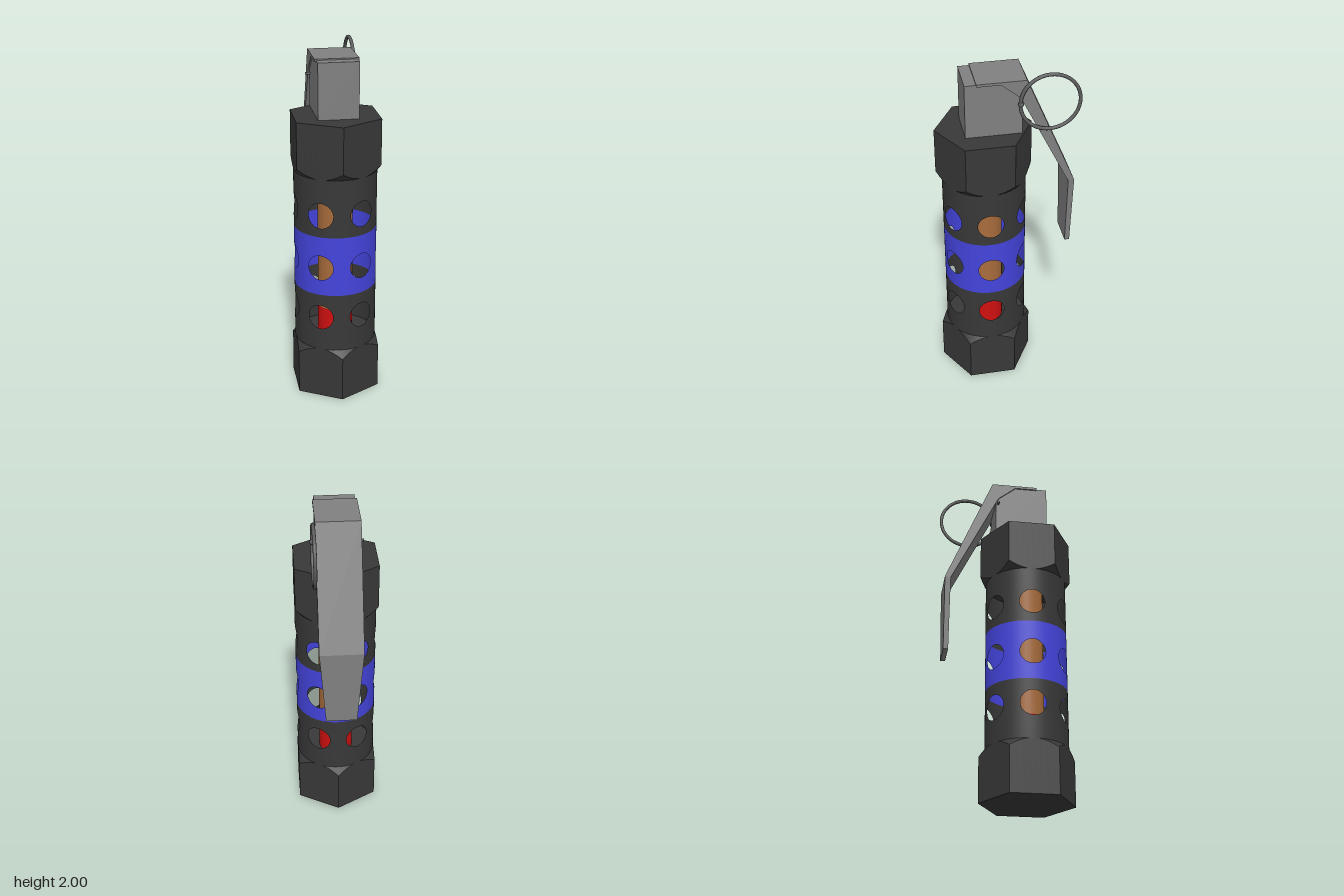
import * as THREE from 'three';
import { toCreasedNormals } from 'three/addons/utils/BufferGeometryUtils.js';
import { ParametricGeometry } from 'three/addons/geometries/ParametricGeometry.js';

const AXIS_Z = 0.122;   // body axis
const TUBE_R = 0.235;   // perforated sleeve radius
const APOTHEM = 0.234;  // hexagonal cap, centre to flat
const CAP_H = 0.307;
const HOLE_R = 0.073;

const material = (color, side = THREE.FrontSide) => new THREE.MeshStandardMaterial({ color, side });

function add(parent, name, geometry, mat, x = 0, y = 0, z = 0) {
  const mesh = new THREE.Mesh(geometry, mat);
  mesh.name = name;
  mesh.position.set(x, y, z);
  parent.add(mesh);
  return mesh;
}

// Hexagonal cap with its upper corners turned off by a cone
function hexCapGeometry() {
  const profile = [[0, 0], [0.27, 0], [0.27, 0.26], [APOTHEM, CAP_H], [0, CAP_H]]
    .map(([r, y]) => new THREE.Vector2(r, y));
  const geometry = new THREE.LatheGeometry(profile, 48);
  const p = geometry.attributes.position;
  const sector = Math.PI / 3;
  for (let i = 0; i < p.count; i++) {
    const x = p.getX(i), z = p.getZ(i);
    if (Math.hypot(x, z) < 0.25) continue;
    const a = Math.atan2(x, z) + Math.PI * 2;
    const local = a - (Math.floor(a / sector) + 0.5) * sector;
    const r = APOTHEM / Math.cos(local);
    const y = p.getY(i) > 0.1 ? CAP_H - (r - APOTHEM) * 1.25 : 0;
    p.setXYZ(i, r * Math.sin(a), y, r * Math.cos(a));
  }
  return toCreasedNormals(geometry, 0.4);
}

// Sixth of a sleeve ring: a curved panel around one round hole
function panelGeometry(bottom, holeY, top) {
  return new ParametricGeometry((u, v, target) => {
    const t = v * Math.PI * 2, c = Math.cos(t), s = Math.sin(t);
    const m = Math.max(Math.abs(c), Math.abs(s));
    const innerA = Math.asin(HOLE_R * c / TUBE_R);
    const outerA = (c / m) * Math.PI / 6;
    const outerY = (s / m) * (s > 0 ? top - holeY : holeY - bottom);
    const a = THREE.MathUtils.lerp(innerA, outerA, u);
    const y = holeY + THREE.MathUtils.lerp(HOLE_R * s, outerY, u);
    target.set(TUBE_R * Math.sin(a), y, TUBE_R * Math.cos(a));
  }, 4, 48);
}

// Safety lever: side profile extruded across, lower leaf tapered
function leverGeometry() {
  const outline = [
    [0.175, 1.96], [-0.095, 1.96], [-0.37, 1.305], [-0.366, 0.86], [-0.338, 0.86],
    [-0.336, 1.3], [-0.06, 1.86], [0.045, 1.945], [0.175, 1.945],
  ].map(([z, y]) => new THREE.Vector2(-z, y));
  const geometry = new THREE.ExtrudeGeometry(new THREE.Shape(outline), { depth: 0.244, bevelEnabled: false });
  geometry.translate(0, 0, -0.122).rotateY(Math.PI / 2);
  const p = geometry.attributes.position;
  for (let i = 0; i < p.count; i++) {
    const drop = Math.max(0, 1.3 - p.getY(i));
    p.setX(i, p.getX(i) * (1 - drop * 0.65));
  }
  geometry.computeVertexNormals();
  return geometry;
}

export function createModel() {
  const model = new THREE.Group();
  model.name = 'stunGrenade';
  const dark = material(0x383838);
  const steel = material(0x808080);
  const wire = material(0x5c5c5c);

  // Body
  const body = new THREE.Group();
  body.name = 'body';
  body.position.z = AXIS_Z;
  model.add(body);

  const cap = hexCapGeometry();
  add(body, 'bottomCap', cap, dark);
  add(body, 'topCap', cap, dark, 0, 1.64).rotation.z = Math.PI;

  // Perforated sleeve: three rings of six holes
  const sleeveDark = material(0x383838, THREE.DoubleSide);
  const sleeveBlue = material(0x4444dd, THREE.DoubleSide);
  const rings = [
    ['lowerSleeve', 0.3, 0.51, 0.65, sleeveDark],
    ['colourBand', 0.65, 0.815, 1.0, sleeveBlue],
    ['upperSleeve', 1.0, 1.125, 1.34, sleeveDark],
  ];
  for (const [name, bottom, holeY, top, mat] of rings) {
    const ring = new THREE.Group();
    ring.name = name;
    body.add(ring);
    const panel = panelGeometry(bottom, holeY, top);
    for (let i = 0; i < 6; i++) {
      add(ring, name + 'Panel', panel, mat).rotation.y = Math.PI / 2 + i * Math.PI / 3;
    }
  }

  // Inner charge
  const core = (name, y0, y1, color) => add(body, name,
    new THREE.CylinderGeometry(0.1, 0.1, y1 - y0, 32), material(color), 0, (y0 + y1) / 2);
  core('coreBase', 0.3, 0.495, 0xd01010);
  core('core', 0.495, 1.34, 0xa86c3c);

  // Fuse head and lever
  add(model, 'fuseBlock', new THREE.BoxGeometry(0.226, 0.32, 0.31), steel, 0, 1.793, 0.082);
  add(model, 'safetyLever', leverGeometry(), steel);

  // Pin and pull ring
  add(model, 'pin', new THREE.CylinderGeometry(0.007, 0.007, 0.28, 12), wire, 0, 1.828, -0.06)
    .rotation.z = Math.PI / 2;
  add(model, 'pinEye', new THREE.SphereGeometry(0.016, 16, 12), wire, 0.135, 1.828, -0.06);
  add(model, 'pullRing', new THREE.TorusGeometry(0.162, 0.01, 12, 64), wire, 0.137, 1.828, -0.218)
    .rotation.y = Math.PI / 2;

  return model;
}
